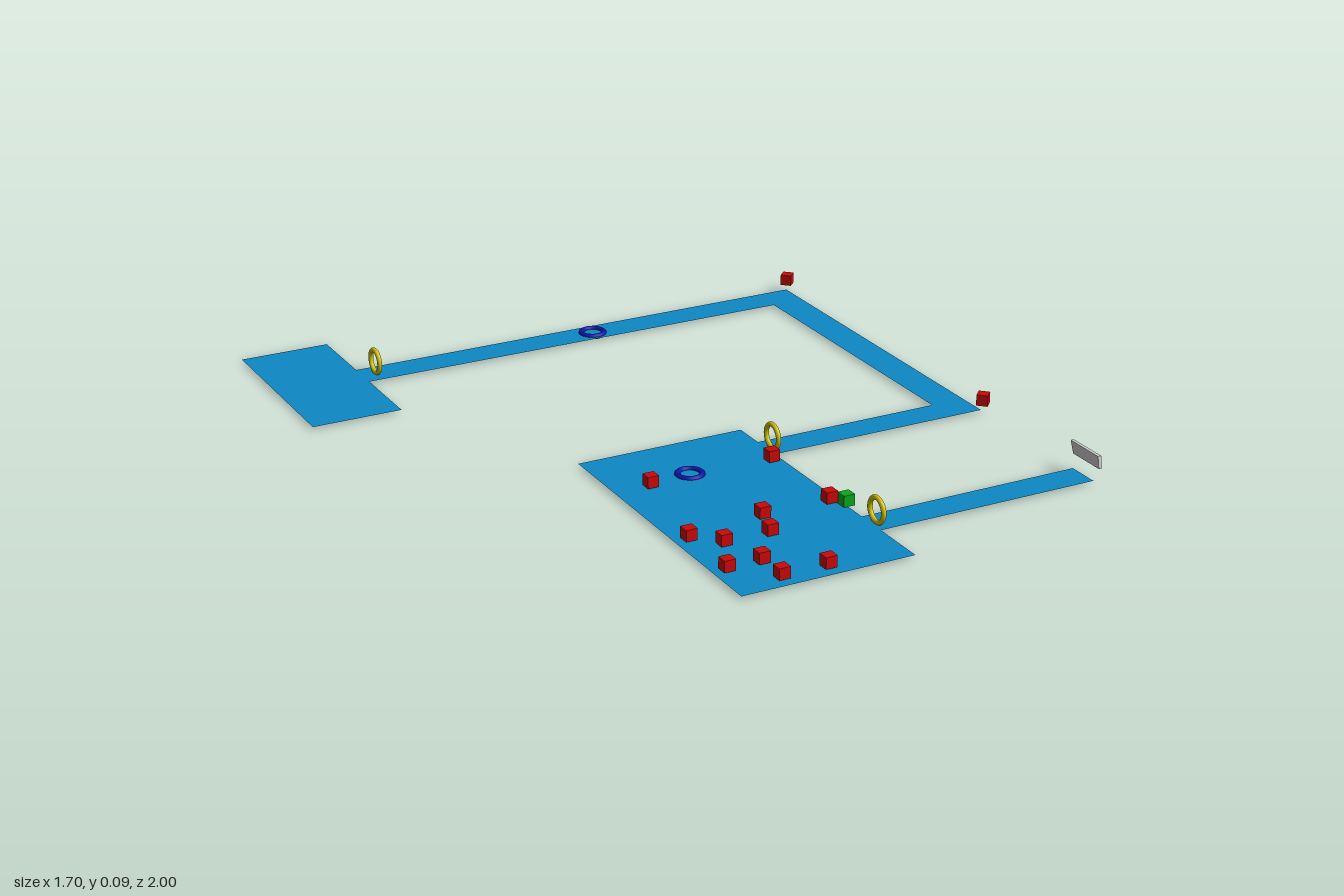
import * as THREE from 'three';

const mat = (color, side = THREE.FrontSide) => new THREE.MeshStandardMaterial({ color, side });

export function createModel() {
  const model = new THREE.Group();
  const blue = mat(0x0d88c4, THREE.DoubleSide);
  const red = mat(0xcc0808);
  const green = mat(0x08a81c);
  const yellow = mat(0xd2c20a);
  const navy = mat(0x0a14a8);
  const grey = mat(0xcccccc);
  const FLOOR_Y = 0.009;

  const add = (name, geometry, material, x, y, z) => {
    const mesh = new THREE.Mesh(geometry, material);
    mesh.name = name;
    mesh.position.set(x, y, z);
    model.add(mesh);
    return mesh;
  };

  // Flat floor pieces: x0, x1, z0, z1
  const floors = {
    mainRoomFloor: [-0.323, 0.168, 0.115, 1],
    backRoomFloor: [-0.853, -0.592, -1, -0.442],
    backCorridorFloor: [-0.592, 0.822, -0.773, -0.674],
    sideCorridorFloor: [0.722, 0.822, -0.674, 0.21],
    middleCorridorFloor: [0.168, 0.822, 0.21, 0.302],
    frontCorridorFloor: [0.168, 0.817, 0.746, 0.838],
  };
  for (const [name, [x0, x1, z0, z1]] of Object.entries(floors)) {
    const g = new THREE.PlaneGeometry(x1 - x0, z1 - z0).rotateX(-Math.PI / 2);
    add(name, g, blue, (x0 + x1) / 2, FLOOR_Y, (z0 + z1) / 2);
  }

  // Upright doorway rings and flat floor rings
  const ring = new THREE.TorusGeometry(0.033, 0.007, 12, 40);
  const doorRing = ring.clone().rotateY(Math.PI / 2);
  const floorRing = new THREE.TorusGeometry(0.033, 0.008, 12, 40).rotateX(Math.PI / 2);
  for (const [x, z] of [[0.18, 0.267], [0.18, 0.797], [-0.552, -0.724]])
    add('doorRing', doorRing, yellow, x, 0.046, z);
  for (const [x, z] of [[-0.093, 0.31], [0.136, -0.724]])
    add('floorRing', floorRing, navy, x, FLOOR_Y, z);

  // Marker cubes in the main room
  const cube = new THREE.BoxGeometry(0.032, 0.032, 0.032);
  const spots = [
    [-0.224, 0.341], [0.136, 0.341], [-0.06, 0.638], [0.136, 0.638],
    [-0.288, 0.669], [-0.224, 0.735], [-0.093, 0.735], [-0.288, 0.866],
    [-0.191, 0.866], [-0.191, 0.964], [-0.06, 0.964],
  ];
  for (const [x, z] of spots) add('markerCube', cube, red, x, 0.031, z);
  add('greenCube', cube, green, 0.168, 0.028, 0.669);

  // Turned cubes at the corridor corners
  for (const z of [-0.77, 0.309])
    add('cornerCube', cube, red, 0.823, 0.045, z).rotation.y = Math.PI / 4;

  // Slanted blank sign at the end of the front corridor
  const outline = new THREE.Shape([
    [-0.865, 0.054], [-0.75, 0.054], [-0.736, 0.087], [-0.858, 0.087],
  ].map(([u, v]) => new THREE.Vector2(u, v)));
  const plate = new THREE.ExtrudeGeometry(outline, { depth: 0.01, bevelEnabled: false });
  plate.rotateY(Math.PI / 2);
  add('endSign', plate, grey, 0.812, 0, 0);

  return model;
}
